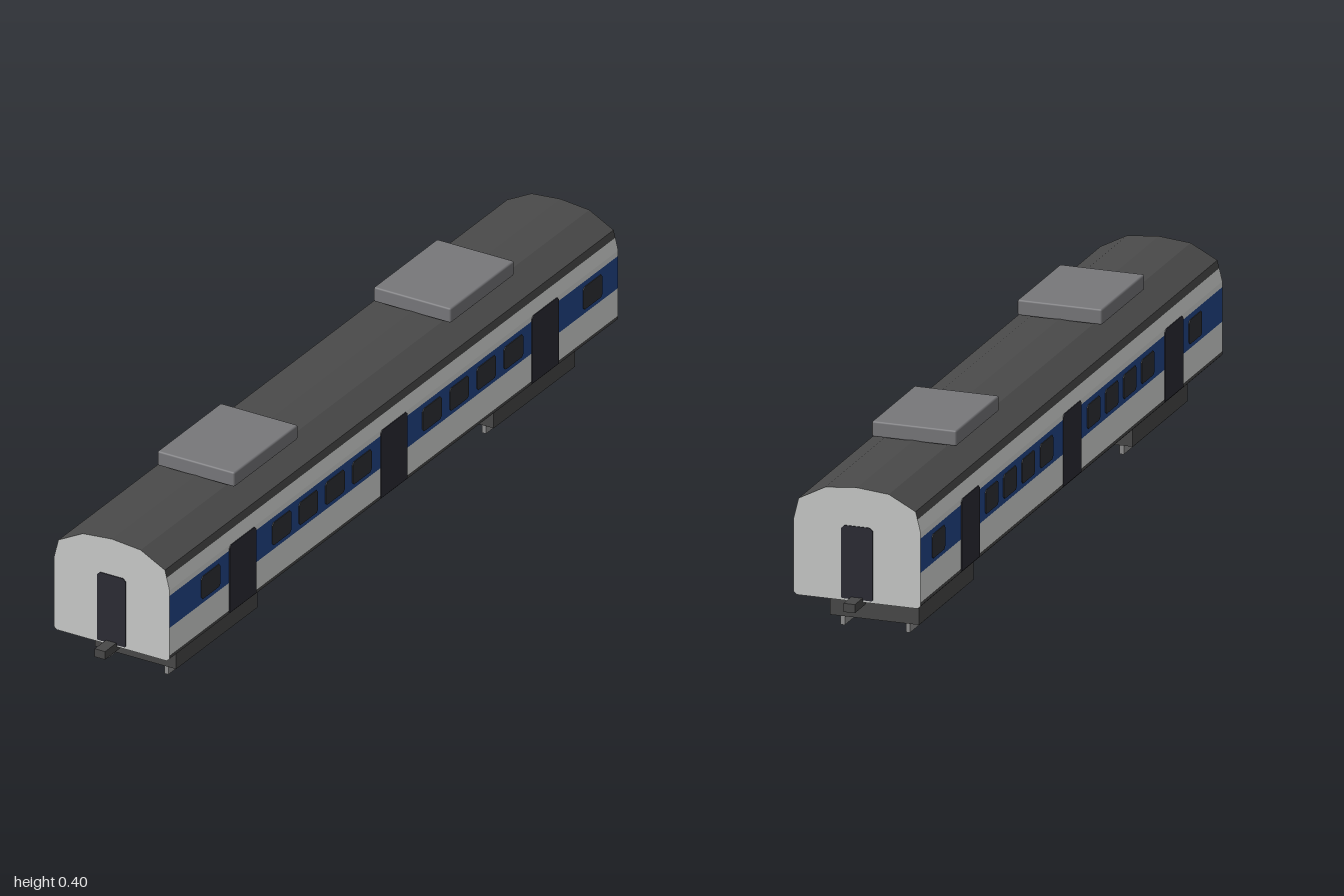
import * as THREE from 'three';
import { RoundedBoxGeometry } from 'three/addons/geometries/RoundedBoxGeometry.js';

const mat = (name, color, extra = {}) => {
  const m = new THREE.MeshStandardMaterial({ color, ...extra });
  m.name = name;
  return m;
};

export function createModel() {
  const train = new THREE.Group();
  train.name = 'passengerCar';

  const white = mat('sideWhite', 0xd8dad8);
  const endGrey = mat('endPaleGrey', 0xc8cac8);
  const blue = mat('stripeBlue', 0x23468a);
  const roofGrey = mat('roofDarkGrey', 0x4a4a4a);
  const doorDark = mat('doorDark', 0x2b2b34);
  const glass = mat('windowDark', 0x2f3136);
  const unitGrey = mat('unitGrey', 0x77777a);
  const frameGrey = mat('underframeGrey', 0x484848);
  const railGrey = mat('railGrey', 0x8f8f8f);

  const L = 0.95; // half length of the body

  const add = (name, geometry, material, x = 0, y = 0, z = 0) => {
    const m = new THREE.Mesh(geometry, material);
    m.name = name;
    m.position.set(x, y, z);
    train.add(m);
    return m;
  };
  // Box given by its half width, height range and length range
  const block = (name, material, hw, y0, y1, z0, z1, x = 0) =>
    add(name, new THREE.BoxGeometry(hw * 2, y1 - y0, z1 - z0), material, x, (y0 + y1) / 2, (z0 + z1) / 2);

  // Flat panels along the body following an outline [x, y], walked counter-clockwise from the front
  const skin = (name, outline, material) => {
    const pos = [];
    for (let i = 0; i < outline.length - 1; i++) {
      const [ax, ay] = outline[i], [bx, by] = outline[i + 1];
      pos.push(ax, ay, L, ax, ay, -L, bx, by, -L, ax, ay, L, bx, by, -L, bx, by, L);
    }
    const g = new THREE.BufferGeometry();
    g.setAttribute('position', new THREE.Float32BufferAttribute(pos, 3));
    g.computeVertexNormals();
    add(name, g, material);
  };
  const mirror = (pts) => pts.map(([x, y]) => [-x, y]).reverse();
  const bothSides = (name, pts, material) => {
    skin(name + 'Left', pts, material);
    skin(name + 'Right', mirror(pts), material);
  };

  // Body shell in colour bands
  bothSides('sill', [[0.143, 0.098], [0.15, 0.105], [0.15, 0.113]], frameGrey);
  bothSides('lowerSide', [[0.15, 0.113], [0.15, 0.182]], white);
  bothSides('stripe', [[0.15, 0.182], [0.15, 0.262]], blue);
  bothSides('upperSide', [[0.15, 0.262], [0.15, 0.275], [0.1425, 0.305]], white);
  const roofHalf = [[0.1425, 0.305], [0.138, 0.323], [0.075, 0.356], [0, 0.363]];
  skin('roof', [...roofHalf, ...mirror(roofHalf).slice(1)], roofGrey);
  skin('floor', [[-0.143, 0.098], [0.143, 0.098]], unitGrey);

  // End walls
  const half = [[0.143, 0.098], [0.15, 0.105], [0.15, 0.275], ...roofHalf];
  const endShape = new THREE.Shape([...half, ...mirror(half).slice(1)].map(([x, y]) => new THREE.Vector2(x, y)));
  const endGeo = new THREE.ShapeGeometry(endShape);
  add('frontWall', endGeo, endGrey, 0, 0, L);
  add('backWall', endGeo, endGrey, 0, 0, -L).rotation.y = Math.PI;

  // Thin plate with clipped corners, centred on its origin
  const plate = (w, h, cutTop, cutBottom) => {
    const x = w / 2, y = h / 2;
    const s = new THREE.Shape([
      [-x + cutBottom, -y], [x - cutBottom, -y], [x, -y + cutBottom], [x, y - cutTop],
      [x - cutTop, y], [-x + cutTop, y], [-x, y - cutTop], [-x, -y + cutBottom],
    ].map((p) => new THREE.Vector2(...p)));
    return new THREE.ExtrudeGeometry(s, { depth: 0.002, bevelEnabled: false });
  };

  // Side doors and windows
  const sideDoor = plate(0.112, 0.167, 0.006, 0);
  const sideWindow = plate(0.08, 0.056, 0.006, 0.006);
  const windows = [0.777, 0.477, 0.364, 0.251, 0.137, -0.16, -0.275, -0.39, -0.505, -0.84];
  for (const s of [1, -1]) {
    const turn = (m) => { m.rotation.y = s * Math.PI / 2; };
    for (const z of [0.642, 0.001, -0.639]) turn(add('sideDoor', sideDoor, doorDark, s * 0.15, 0.191, z));
    for (const z of windows) turn(add('sideWindow', sideWindow, glass, s * 0.15, 0.221, z));
  }

  // End doors and couplers
  const endDoor = plate(0.074, 0.17, 0.007, 0.002);
  for (const s of [1, -1]) {
    add('endDoor', endDoor, doorDark, 0, 0.188, s * L).rotation.y = s > 0 ? 0 : Math.PI;
    add('coupler', new THREE.BoxGeometry(0.027, 0.02, 0.07), frameGrey, 0, 0.098, s * 0.965);
  }

  // Roof units
  for (const z of [0.459, -0.457]) {
    add('roofUnit', new RoundedBoxGeometry(0.2, 0.036, 0.27, 1, 0.004), unitGrey, 0, 0.378, z);
  }

  // Equipment case and bogies with their runners
  block('equipmentCase', frameGrey, 0.1, 0.06, 0.097, -0.414, 0.418);
  for (const z of [0.677, -0.668]) {
    block('bogie', frameGrey, 0.105, 0.022, 0.085, z - 0.172, z + 0.172);
    for (const x of [0.077, -0.077]) block('runner', railGrey, 0.005, 0, 0.022, z - 0.167, z + 0.167, x);
  }
  return train;
}
